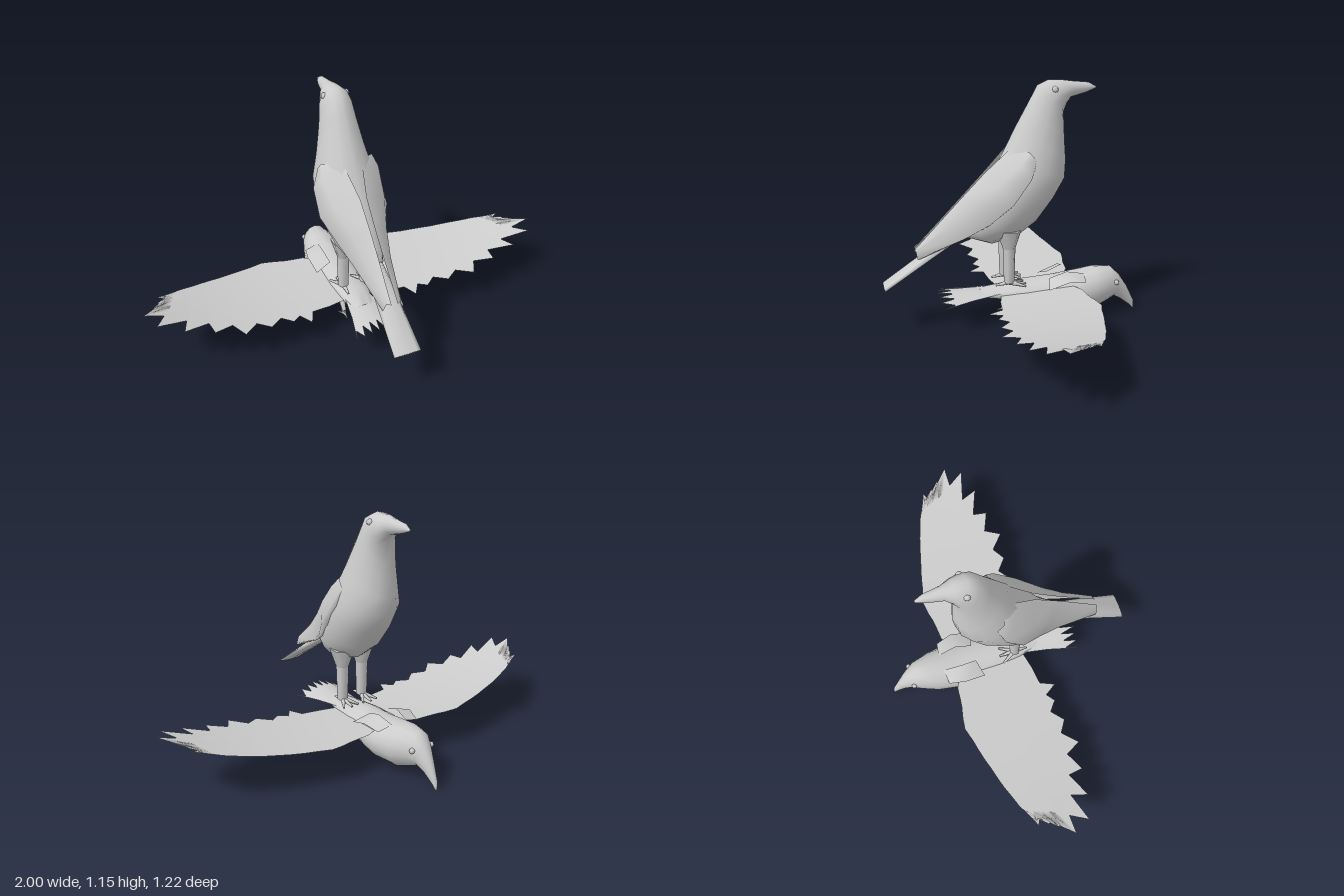
import * as THREE from 'three';

const plumage = new THREE.MeshStandardMaterial({ color: 0xcccccc, side: THREE.DoubleSide });
plumage.name = 'plumage grey';

function add(group, name, geometry) {
  const mesh = new THREE.Mesh(geometry, plumage);
  mesh.name = name;
  group.add(mesh);
  return mesh;
}

function build(points, index) {
  const g = new THREE.BufferGeometry();
  g.setAttribute('position', new THREE.Float32BufferAttribute(points, 3));
  g.setIndex(index);
  g.computeVertexNormals();
  return g;
}

// Closed body through oval sections [topZ, topY, bottomZ, bottomY, halfWidth]
function loft(sections, sides = 14) {
  const p = [], idx = [];
  for (const [tz, ty, bz, by, w] of sections) {
    for (let i = 0; i < sides; i++) {
      const a = (i / sides) * Math.PI * 2, c = Math.cos(a) / 2;
      p.push(Math.sin(a) * w, (ty + by) / 2 + c * (ty - by), (tz + bz) / 2 + c * (tz - bz));
    }
  }
  const last = (sections.length - 1) * sides;
  for (let s = 0; s < last; s += sides) {
    for (let i = 0; i < sides; i++) {
      const j = (i + 1) % sides;
      idx.push(s + i, s + sides + i, s + j, s + j, s + sides + i, s + sides + j);
    }
  }
  for (let i = 1; i < sides - 1; i++) {
    idx.push(0, i, i + 1, last, last + i + 1, last + i);
  }
  return build(p, idx);
}

// Open sheet through rows of points
function sheet(rows) {
  const n = rows[0].length, idx = [];
  for (let r = 0; r < rows.length - 1; r++) {
    for (let i = 0; i < n - 1; i++) {
      const a = r * n + i, b = a + n;
      idx.push(a, b, a + 1, a + 1, b, b + 1);
    }
  }
  return build(rows.flat(2), idx);
}

// Tapered limb between two points
function limb(group, name, from, to, r0, r1) {
  const a = new THREE.Vector3(...from), b = new THREE.Vector3(...to);
  const d = b.clone().sub(a);
  const mesh = add(group, name, new THREE.CylinderGeometry(r1, r0, d.length(), 6));
  mesh.position.copy(a).addScaledVector(d, 0.5);
  mesh.quaternion.setFromUnitVectors(new THREE.Vector3(0, 1, 0), d.normalize());
}

function foot(group, x, y, z, size) {
  for (const [dx, dz] of [[-0.5, -0.9], [0, -1], [0.5, -0.9], [0, 0.8]]) {
    limb(group, 'toe', [x, y + size * 0.15, z], [x + dx * size, y, z + dz * size], size * 0.16, size * 0.06);
  }
}

function standingBird() {
  const bird = new THREE.Group();
  bird.name = 'standingBird';
  // Beak, head, neck and body in one skin
  add(bird, 'body', loft([
    [-0.386, 1.112, -0.384, 1.104, 0.005], [-0.35, 1.132, -0.335, 1.085, 0.02],
    [-0.27, 1.14, -0.265, 1.066, 0.033], [-0.22, 1.147, -0.245, 1.04, 0.053],
    [-0.16, 1.148, -0.23, 1.0, 0.07], [-0.11, 1.125, -0.235, 0.93, 0.078],
    [-0.07, 1.05, -0.24, 0.86, 0.09], [-0.01, 0.94, -0.247, 0.78, 0.11],
    [0.05, 0.82, -0.242, 0.7, 0.14], [0.11, 0.71, -0.19, 0.61, 0.148],
    [0.16, 0.63, -0.11, 0.5, 0.135], [0.2, 0.56, -0.02, 0.43, 0.11],
    [0.24, 0.52, 0.1, 0.395, 0.08], [0.27, 0.48, 0.24, 0.44, 0.045],
  ]));
  add(bird, 'tail', loft([
    [0.19, 0.52, 0.17, 0.48, 0.04], [0.4, 0.375, 0.385, 0.345, 0.055], [0.612, 0.222, 0.602, 0.207, 0.065],
  ], 8));

  // Folded wings: upper edge, bulge and lower edge per row
  const rows = [
    [[0.07, 0.85, -0.02], [0.125, 0.845, -0.05], [0.13, 0.81, -0.08], [0.11, 0.8, -0.09]],
    [[0.04, 0.84, 0.03], [0.14, 0.8, -0.01], [0.165, 0.73, -0.05], [0.13, 0.71, -0.05]],
    [[0.015, 0.735, 0.135], [0.125, 0.7, 0.09], [0.168, 0.62, 0.03], [0.13, 0.6, 0.03]],
    [[0.012, 0.63, 0.235], [0.085, 0.6, 0.2], [0.12, 0.52, 0.13], [0.1, 0.51, 0.13]],
    [[0.012, 0.53, 0.33], [0.06, 0.51, 0.3], [0.085, 0.45, 0.24], [0.07, 0.45, 0.23]],
    [[0.015, 0.385, 0.468], [0.035, 0.39, 0.46], [0.05, 0.355, 0.455], [0.045, 0.35, 0.45]],
  ];
  for (const s of [1, -1]) {
    const side = s > 0 ? 'left' : 'right';
    add(bird, side + 'FoldedWing', sheet(rows.map(r => r.map(([x, y, z]) => [x * s, y, z]))));
    // Thigh, shank and toes
    limb(bird, side + 'Thigh', [s * 0.055, 0.47, 0.03], [s * 0.055, 0.38, 0.03], 0.06, 0.03);
    limb(bird, side + 'Leg', [s * 0.055, 0.39, 0.03], [s * 0.055, 0.21, 0.03], 0.03, 0.025);
    foot(bird, s * 0.055, 0.2, 0.03, 0.08);
    const eye = add(bird, side + 'Eye', new THREE.SphereGeometry(0.016, 8, 6));
    eye.position.set(s * 0.052, 1.11, -0.18);
  }
  return bird;
}

// Height of the spread wing: rises to the tip, cambered near the root
const wingY = (x, z) => 0.165 + 0.135 * Math.pow(x, 2.5) - 0.09 * (z + 0.1) * (1 - x);

function flyingBird() {
  const bird = new THREE.Group();
  bird.name = 'flyingBird';
  // Hooked beak, head and body
  add(bird, 'body', loft([
    [-0.61, 0.006, -0.606, 0.002, 0.004], [-0.608, 0.045, -0.588, 0.022, 0.011],
    [-0.57, 0.125, -0.54, 0.058, 0.026], [-0.53, 0.185, -0.5, 0.08, 0.045],
    [-0.48, 0.235, -0.46, 0.06, 0.07], [-0.4, 0.237, -0.38, 0.025, 0.098],
    [-0.31, 0.22, -0.27, 0.022, 0.115], [-0.2, 0.205, -0.2, 0.035, 0.11],
    [-0.05, 0.195, -0.08, 0.065, 0.1], [0.05, 0.18, 0.0, 0.11, 0.08], [0.16, 0.165, 0.14, 0.13, 0.055],
  ]));

  // Tail fan with ragged feather ends
  const fan = [];
  for (let i = 0; i <= 14; i++) {
    const u = i / 7 - 1, end = i % 2 ? 0.29 : 0.37 - 0.02 * Math.abs(u);
    fan.push([
      [u * 0.06, 0.16, 0.05], [u * 0.085, 0.165 - 0.02 * u * u, 0.2],
      [u * 0.12, 0.17 - 0.045 * u * u, end],
    ]);
  }
  add(bird, 'tailFan', sheet(fan));

  // Spread wings: [leadX, leadZ, trailX, trailZ], trailing edge zigzags into feathers
  const ribs = [
    [0.06, -0.26, 0.06, 0.07], [0.14, -0.3, 0.15, 0.09], [0.2, -0.305, 0.24, 0.1],
    [0.24, -0.31, 0.27, 0.17], [0.28, -0.32, 0.31, 0.11], [0.31, -0.325, 0.35, 0.14],
    [0.35, -0.33, 0.4, 0.1], [0.42, -0.31, 0.46, 0.15], [0.47, -0.3, 0.52, 0.11],
    [0.53, -0.285, 0.59, 0.175], [0.58, -0.27, 0.63, 0.1], [0.64, -0.255, 0.72, 0.14],
    [0.69, -0.24, 0.73, 0.07], [0.73, -0.225, 0.85, 0.12], [0.76, -0.215, 0.8, 0.035],
    [0.79, -0.205, 0.96, 0.08], [0.8, -0.2, 0.85, 0], [0.81, -0.195, 1, 0],
    [0.82, -0.19, 0.87, -0.05], [0.83, -0.185, 0.95, -0.06], [0.84, -0.18, 0.86, -0.1],
    [0.85, -0.175, 0.92, -0.1], [0.86, -0.17, 0.87, -0.13], [0.87, -0.165, 0.91, -0.15],
  ];
  for (const s of [1, -1]) {
    const side = s > 0 ? 'left' : 'right';
    add(bird, side + 'SpreadWing', sheet(ribs.map(([lx, lz, tx, tz]) =>
      [0, 0.25, 0.5, 0.75, 1].map(t => {
        const x = lx + (tx - lx) * t, z = lz + (tz - lz) * t;
        return [x * s, wingY(x, z), z];
      }))));
    // Tucked leg with hanging foot
    limb(bird, side + 'Leg', [s * 0.05, 0.13, -0.03], [s * 0.05, 0.05, 0.03], 0.02, 0.01);
    foot(bird, s * 0.05, 0.03, 0.035, 0.04);
    // Shoulder tuft where the wing meets the neck
    add(bird, side + 'ShoulderTuft', sheet([
      [[s * 0.04, 0.22, -0.34], [s * 0.11, 0.2, -0.33]],
      [[s * 0.05, 0.24, -0.25], [s * 0.13, 0.215, -0.25]],
      [[s * 0.04, 0.21, -0.17], [s * 0.12, 0.18, -0.15]],
    ]));
    const eye = add(bird, side + 'Eye', new THREE.SphereGeometry(0.013, 8, 6));
    eye.position.set(s * 0.053, 0.165, -0.5);
  }
  return bird;
}

export function createModel() {
  const model = new THREE.Group();
  model.name = 'twoBirds';
  model.add(standingBird(), flyingBird());
  return model;
}
